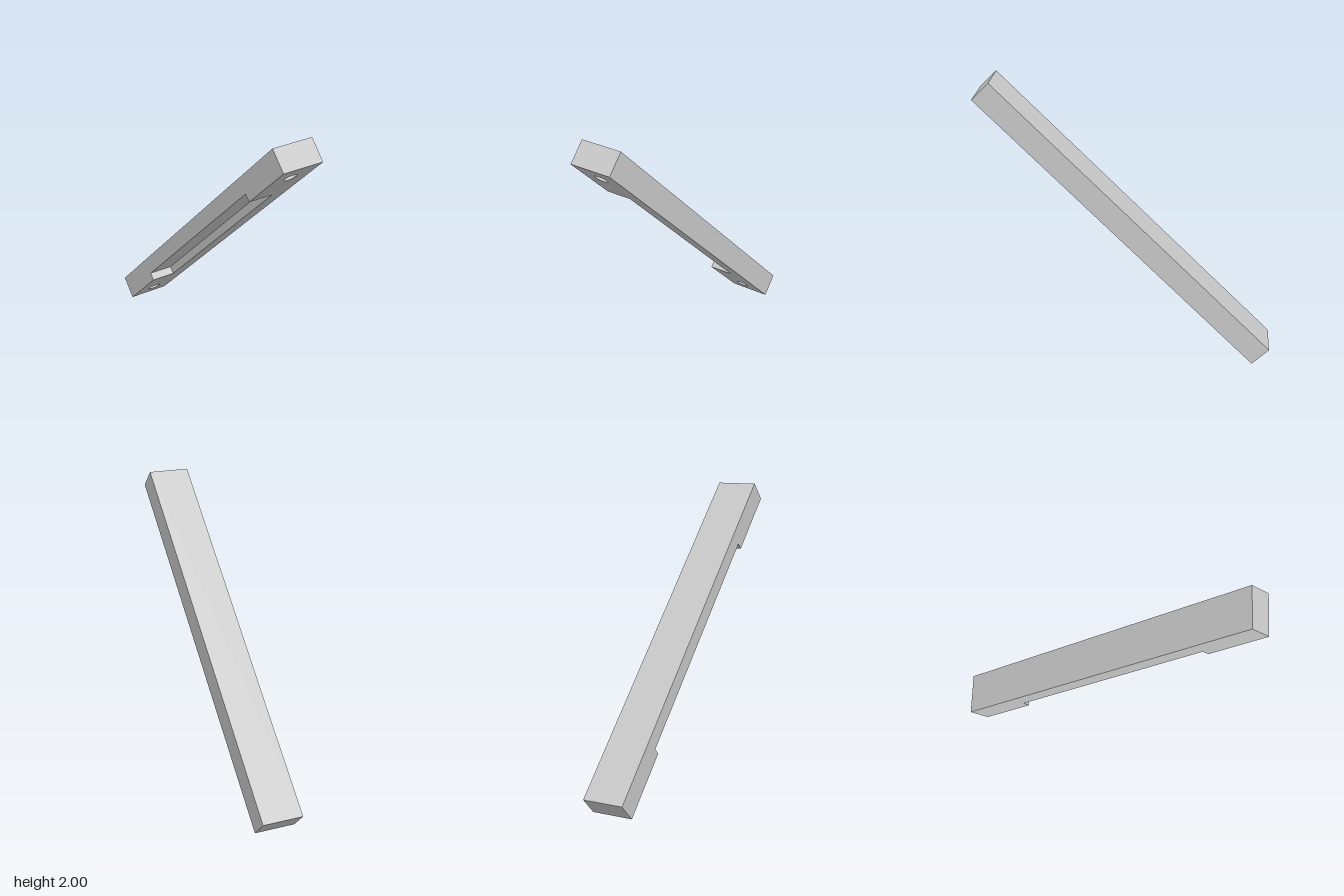
import * as THREE from 'three';
import { mergeGeometries, toCreasedNormals } from 'three/addons/utils/BufferGeometryUtils.js';

const X = new THREE.Vector3(1, 0, 0);
const Y = new THREE.Vector3(0, 1, 0);
const Z = new THREE.Vector3(0, 0, 1);

// Bar measures in its own frame: width on x, length on y, underside at +z
const W = 0.1425, L = 1.3325, T = 0.0815;                 // half sizes
const notchX = 0.028, notchY = 0.855, notchZ = T - 0.055; // notch limits
const holeX = -0.006, holeY = 1.18, holeR = 0.045, holeDepth = 0.11;

// Flat face spanned by u and v, facing u x v, moved along that normal's axis
function face(u, v, offset, points, holes = []) {
  const shape = new THREE.Shape(points.map(([a, b]) => new THREE.Vector2(a, b)));
  for (const [a, b] of holes) shape.holes.push(new THREE.Path().absarc(a, b, holeR, 0, Math.PI * 2, true));
  const normal = u.clone().cross(v);
  const axis = new THREE.Vector3(...normal.toArray().map(Math.abs));
  const place = new THREE.Matrix4().makeBasis(u, v, normal).setPosition(axis.multiplyScalar(offset));
  return new THREE.ShapeGeometry(shape, 32).applyMatrix4(place);
}

const rect = (a0, a1, b0, b1) => [[a0, b0], [a1, b0], [a1, b1], [a0, b1]];

// C-shaped outline: a rectangle with a bite out of one long side
const notched = (solid, open, bite) => [
  [solid, -L], [solid, L], [open, L], [open, notchY],
  [bite, notchY], [bite, -notchY], [open, -notchY], [open, -L],
];

export function createModel() {
  const model = new THREE.Group();
  model.name = 'slantedBar';
  const grey = new THREE.MeshStandardMaterial({ color: 0xc8c8c8 });
  grey.name = 'light grey';

  const add = (name, geometry) => {
    const mesh = new THREE.Mesh(geometry, grey);
    mesh.name = name;
    bar.add(mesh);
    return mesh;
  };

  // Leaning frame: top end forward, underside facing front and down
  const bar = new THREE.Group();
  bar.name = 'bar';
  bar.rotation.x = Math.PI / 4;
  bar.position.y = 1;
  model.add(bar);

  // Outer skin of the bar
  add('barBody', mergeGeometries([
    face(Y, X, -T, rect(-L, L, -W, W)),
    face(X, Y, T, notched(W, -W, notchX), [[holeX, holeY], [holeX, -holeY]]),
    face(Y, Z, W, rect(-L, L, -T, T)),
    face(Z, Y, -W, notched(-T, T, notchZ)),
    face(Z, X, L, rect(-T, T, -W, W)),
    face(X, Z, -L, rect(-W, W, -T, T)),
  ]));

  // Shallow notch, open on the right side
  add('notch', mergeGeometries([
    face(X, Y, notchZ, rect(-W, notchX, -notchY, notchY)),
    face(Z, Y, notchX, rect(notchZ, T, -notchY, notchY)),
    face(X, Z, notchY, rect(-W, notchX, notchZ, T)),
    face(Z, X, -notchY, rect(notchZ, T, -W, notchX)),
  ]));

  // Blind screw holes, seen from inside
  const profile = [[holeR, 0], [holeR, -holeDepth], [0, -holeDepth]].map(([r, h]) => new THREE.Vector2(r, h));
  const holeGeometry = toCreasedNormals(new THREE.LatheGeometry(profile, 32), Math.PI / 4).rotateX(Math.PI / 2);
  for (const [name, side] of [['upperHole', 1], ['lowerHole', -1]]) {
    add(name, holeGeometry).position.set(holeX, side * holeY, T);
  }

  return model;
}
